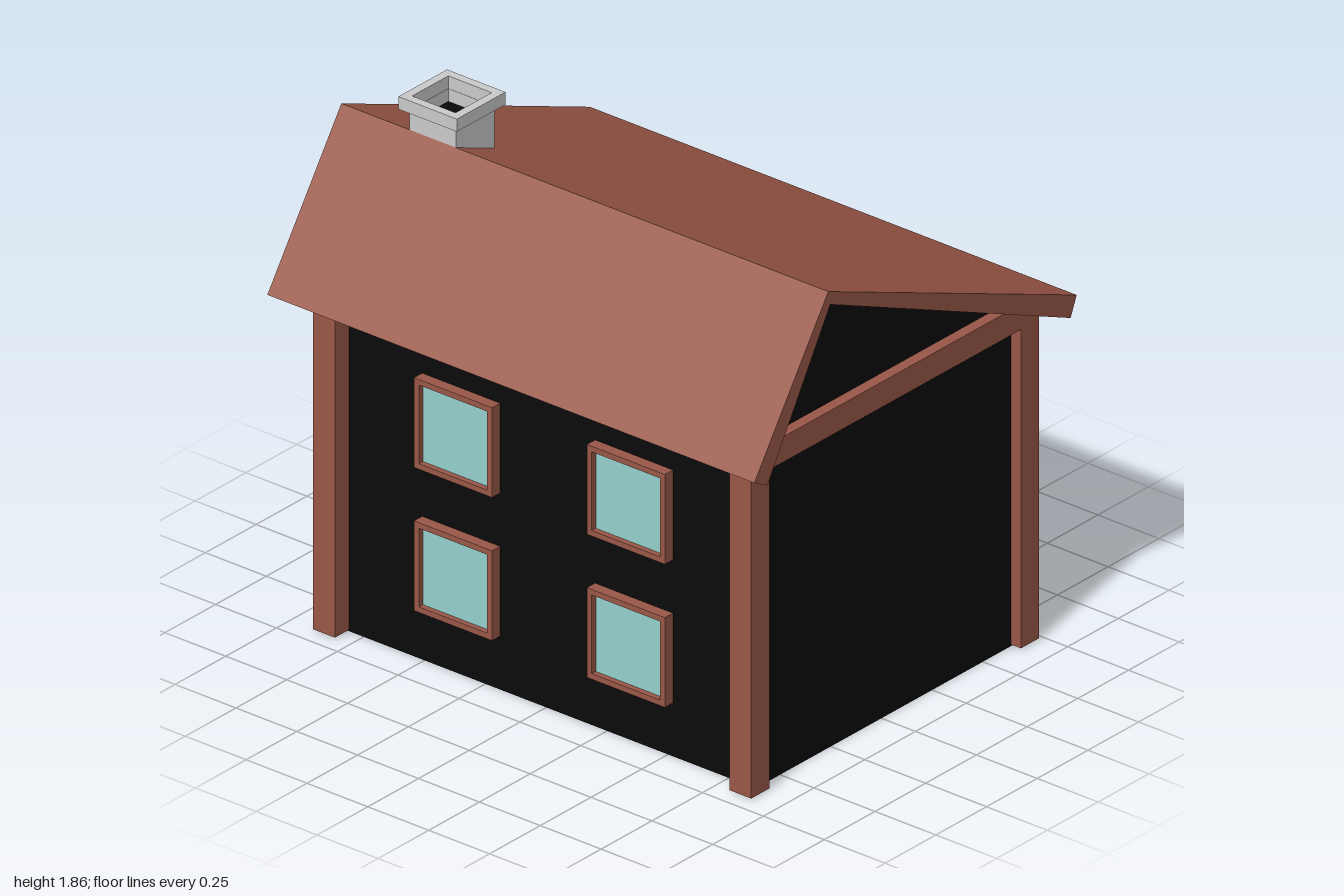
import * as THREE from 'three';

const mat = (color) => new THREE.MeshStandardMaterial({ color, flatShading: true });
const brown = mat(0x9b5848);
const black = mat(0x0a0a0a);
const glass = mat(0x96d2ce);
const grey = mat(0xcccccc);

function add(parent, name, geometry, material) {
  const mesh = new THREE.Mesh(geometry, material);
  mesh.name = name;
  parent.add(mesh);
  return mesh;
}

// Box given by its minimum and maximum corners
function box(parent, name, material, [x0, y0, z0], [x1, y1, z1]) {
  const mesh = add(parent, name, new THREE.BoxGeometry(x1 - x0, y1 - y0, z1 - z0), material);
  mesh.position.set((x0 + x1) / 2, (y0 + y1) / 2, (z0 + z1) / 2);
  return mesh;
}

// Profile in x and y, extruded evenly to both sides of z = 0
function prism(points, depth) {
  const shape = new THREE.Shape(points.map(([x, y]) => new THREE.Vector2(x, y)));
  return new THREE.ExtrudeGeometry(shape, { depth, bevelEnabled: false }).translate(0, 0, -depth / 2);
}

// Rectangular ring, centred on x and y, extruded along +z
function ring(w, h, border, depth) {
  const rect = (target, a, b) => {
    target.moveTo(-a, -b).lineTo(a, -b).lineTo(a, b).lineTo(-a, b).closePath();
    return target;
  };
  const shape = rect(new THREE.Shape(), w / 2, h / 2);
  shape.holes.push(rect(new THREE.Path(), w / 2 - border, h / 2 - border));
  return new THREE.ExtrudeGeometry(shape, { depth, bevelEnabled: false });
}

// Frame with an inset panel, set on a side wall
function opening(parent, name, side, z, y, w, h, border, panel, inset) {
  const group = new THREE.Group();
  group.name = name;
  add(group, name + 'Frame', ring(w, h, border, 0.05), brown);
  const depth = 0.05 - inset;
  const pane = new THREE.BoxGeometry(w - 2 * border, h - 2 * border, depth);
  add(group, name + 'Panel', pane, panel).position.z = depth / 2;
  group.position.set(side > 0 ? 0.65 : -0.61, y, z);
  group.rotation.y = side * Math.PI / 2;
  parent.add(group);
}

export function createModel() {
  const house = new THREE.Group();
  house.name = 'house';

  // Solid walls with gables
  add(house, 'walls', prism([
    [-0.62, 0], [0.66, 0], [0.66, 1.21], [-0.42, 1.69], [-0.62, 1.28],
  ], 1.72), black);

  // Lopsided roof
  add(house, 'roof', prism([
    [-0.73, 1.17], [-0.42, 1.69], [0.765, 1.165],
    [0.795, 1.235], [-0.43, 1.74], [-0.795, 1.205],
  ], 2), brown);

  // Corner posts and the beams joining them
  for (const [x0, x1] of [[-0.69, -0.6], [0.64, 0.73]]) {
    for (const [z0, z1] of [[-0.9, -0.81], [0.81, 0.9]]) {
      box(house, 'post', brown, [x0, 0.005, z0], [x1, 1.14, z1]);
    }
    box(house, 'sideBeam', brown, [x0, 1.14, -0.9], [x1, 1.23, 0.9]);
  }
  for (const [z0, z1] of [[-0.9, -0.81], [0.81, 0.9]]) {
    box(house, 'gableBeam', brown, [-0.6, 1.14, z0], [0.64, 1.23, z1]);
  }

  // Windows on both long walls; the door takes one place
  for (const side of [-1, 1]) {
    for (const z of [-0.35, 0.36]) {
      for (const y of [0.35, 0.86]) {
        if (side > 0 && z > 0 && y < 0.5) continue;
        opening(house, 'window', side, z, y, 0.32, 0.32, 0.02, glass, 0.02);
      }
    }
  }
  opening(house, 'door', 1, 0.358, 0.233, 0.235, 0.456, 0.013, brown, 0.01);

  // Hollow chimney with a wider cap
  const chimney = new THREE.Group();
  chimney.name = 'chimney';
  chimney.position.set(-0.335, 0, -0.625);
  const upright = (name, size, border, y, height) => {
    const mesh = add(chimney, name, ring(size, size, border, height), grey);
    mesh.rotation.x = -Math.PI / 2;
    mesh.position.y = y;
  };
  upright('chimneyStack', 0.19, 0.007, 1.64, 0.175);
  upright('chimneyCap', 0.24, 0.031, 1.815, 0.045);
  box(chimney, 'flue', black, [-0.088, 1.65, -0.088], [0.088, 1.77, 0.088]);
  house.add(chimney);

  return house;
}
